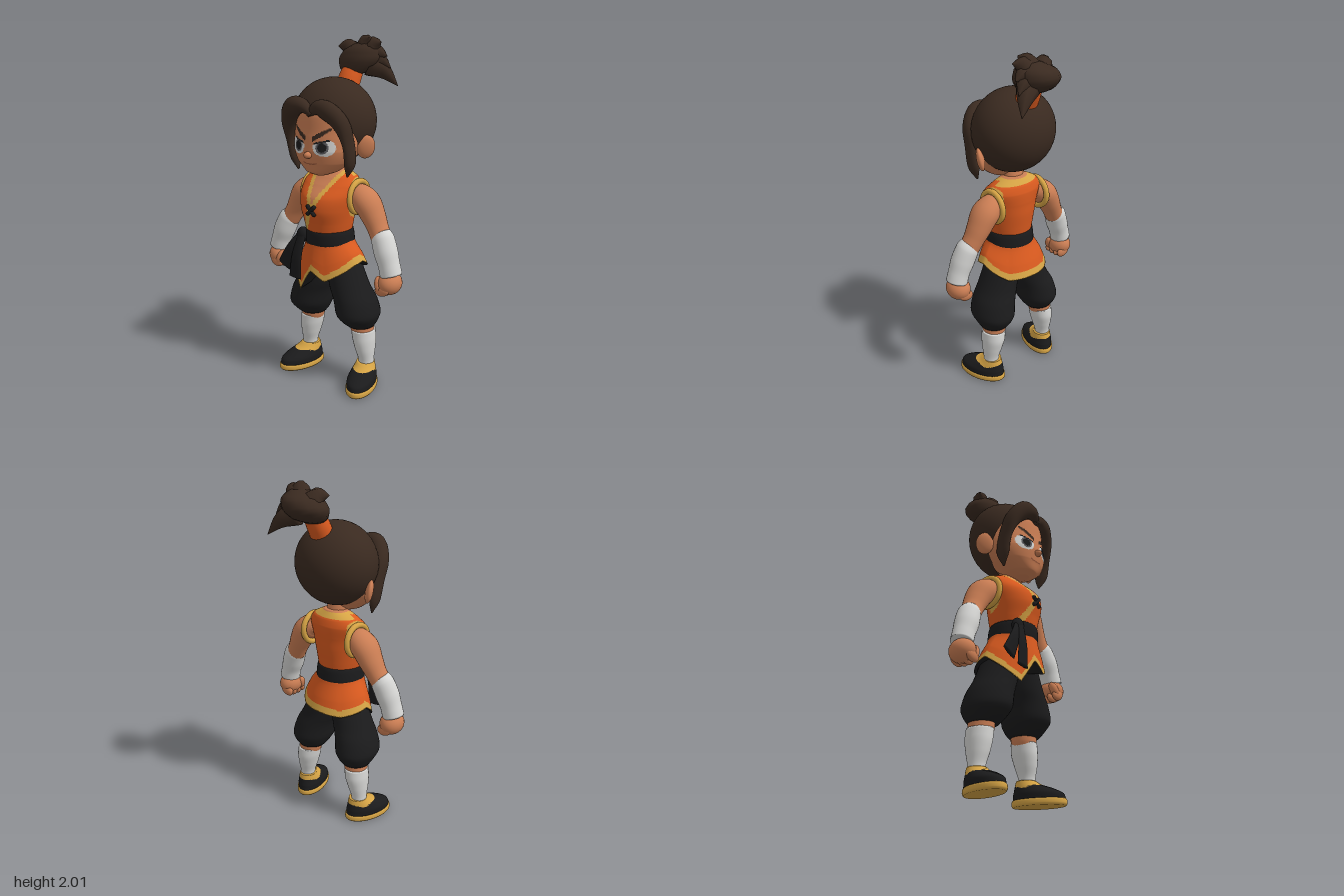
import * as THREE from 'three';

const mat = (name, color, side = THREE.FrontSide) =>
  Object.assign(new THREE.MeshStandardMaterial({ color, side }), { name });
const skin = mat('skin', 0xcb7e54), hair = mat('hair', 0x3a2a20, THREE.DoubleSide);
const orange = mat('orange cloth', 0xd95a1f), trim = mat('gold trim', 0xd6a445);
const black = mat('black cloth', 0x1b1b1c), white = mat('white wrap', 0xd6d6d4);
const grey = mat('grey iris', 0x5c5c60), lip = mat('lip', 0x9c5a3c);

// Smooth closed loft through sections [x, y, z, rx, rz].
// flat: rings stay horizontal (list them upwards); pick(p, a): material index per face.
function loft(name, sections, material, { n = 24, rows = 24, flat = false, warp, pick } = {}) {
  const centres = new THREE.CatmullRomCurve3(sections.map(s => new THREE.Vector3(s[0], s[1], s[2])));
  const radii = new THREE.CatmullRomCurve3(sections.map(s => new THREE.Vector3(s[3], s[4], 0)));
  const pos = [], Z = new THREE.Vector3(0, 0, 1);
  for (let j = -1; j <= rows + 1; j++) {
    const v = Math.min(Math.max(j / rows, 0), 1), closed = j < 0 || j > rows;
    const c = centres.getPoint(v), r = radii.getPoint(v), t = centres.getTangent(v);
    const s = flat ? new THREE.Vector3(1, 0, 0) : new THREE.Vector3().crossVectors(t, Z).normalize();
    const f = flat ? Z : new THREE.Vector3().crossVectors(s, t).normalize();
    for (let i = 0; i < n; i++) {
      const a = i / n * Math.PI * 2, p = c.clone();
      if (!closed) {
        p.addScaledVector(s, Math.max(r.x, 0.001) * Math.sin(a));
        p.addScaledVector(f, Math.max(r.y, 0.001) * Math.cos(a));
        if (warp) warp(p, a);
      }
      pos.push(p.x, p.y, p.z);
    }
  }
  const mats = [].concat(material), lists = mats.map(() => []);
  for (let j = 0; j < rows + 2; j++) for (let i = 0; i < n; i++) {
    const k = (i + 1) % n, q = [j * n + i, j * n + k, (j + 1) * n + k, (j + 1) * n + i];
    const mid = new THREE.Vector3();
    q.forEach(e => mid.add(new THREE.Vector3(...pos.slice(e * 3, e * 3 + 3))));
    const m = pick ? pick(mid.multiplyScalar(0.25), (i + 0.5) / n * Math.PI * 2) : 0;
    lists[m].push(q[0], q[1], q[2], q[0], q[2], q[3]);
  }
  const g = new THREE.BufferGeometry();
  g.setAttribute('position', new THREE.Float32BufferAttribute(pos, 3));
  g.setIndex(lists.flat());
  let start = 0;
  if (pick) lists.forEach((l, m) => { g.addGroup(start, l.length, m); start += l.length; });
  g.computeVertexNormals();
  const mesh = new THREE.Mesh(g, pick ? mats : mats[0]);
  mesh.name = name;
  return mesh;
}

function ball(name, material, [x, y, z], [rx, ry, rz], rot = [0, 0, 0]) {
  const m = new THREE.Mesh(new THREE.SphereGeometry(1, 24, 16), material);
  m.name = name;
  m.position.set(x, y, z);
  m.scale.set(rx, ry, rz);
  m.rotation.set(...rot);
  return m;
}

// Face colours: 0 skin, 1 black, 2 eye white, 3 iris, 4 lip, 5 brow
function facePick({ x, y, z }) {
  if (z < 0.08) return 0;
  const m = Math.abs(x), ex = m - 0.088, ey = y - 1.442;
  const brow = y - (1.487 + (m - 0.03) * 0.6);
  if (m > 0.026 && m < 0.125 && Math.abs(brow) < 0.013 - Math.max(0, m - 0.08) * 0.15) return 5;
  const lid = 1.465 + (m - 0.03) * 0.25 - y;
  if ((ex / 0.058) ** 2 + (ey / 0.047) ** 2 < 1 && lid > 0) {
    if (lid < 0.009) return 1;
    const d = Math.hypot(m - 0.08, ey);
    return d < 0.024 ? 1 : d < 0.034 ? 3 : 2;
  }
  return m < 0.045 && Math.abs(y - 1.347 - x * x * 3) < 0.004 ? 4 : 0;
}

// Vest colours: 0 orange, 1 trim, 2 skin
function vestPick({ x, y, z }) {
  const m = Math.abs(x);
  if (y > 1.293) return 2;
  if (z > 0.03) {
    const w = Math.max(0, y - 1.115) * 0.45;
    if (y > 1.115 && m < w) return 2;
    if (y > 1.1 && m < w + 0.03) return 1;
    if (y <= 1.12 && Math.abs(x - (y - 1.1) * 0.55) < 0.019) return 1;
  } else if (y > 1.262) return 1;
  return m > 0.135 && Math.hypot((y - 1.14) / 0.115, (z - 0.02) / 0.095) < 1 ? 1 : 0;
}

// Uneven hem height around the skirt, by angle from the front
const hemTable = [[-180, .70], [-140, .69], [-90, .73], [-60, .66], [-30, .585], [-4, .725],
  [20, .675], [70, .77], [90, .785], [140, .70], [180, .70]];
function hem(a) {
  const d = ((a * 180 / Math.PI + 180) % 360) - 180;
  const i = Math.max(1, hemTable.findIndex(h => h[0] >= d));
  const [d0, y0] = hemTable[i - 1], [d1, y1] = hemTable[i];
  return y0 + (y1 - y0) * (d - d0) / (d1 - d0);
}

export function createModel() {
  const model = new THREE.Group();
  model.name = 'fighter';
  const add = (...m) => model.add(...m);

  // Head
  add(loft('head', [[0, 1.275, .14, .04, .045], [0, 1.295, .13, .09, .095], [0, 1.35, .115, .16, .13],
    [0, 1.42, .085, .198, .172], [0, 1.5, .06, .203, .19], [0, 1.6, .05, .198, .192], [0, 1.71, .04, .14, .14]],
    [skin, black, white, grey, lip, hair], { n: 220, rows: 110, flat: true, pick: facePick }));
  add(ball('nose', skin, [0, 1.398, .258], [.022, .019, .026]));
  add(loft('neck', [[0, 1.15, .04, .07, .07], [0, 1.22, .035, .075, .065], [0, 1.27, .035, .062, .055],
    [0, 1.36, .05, .06, .055]], skin, { flat: true }));

  // Hair cap, open towards the face
  const cap = new THREE.SphereGeometry(1, 40, 28, 0, Math.PI * 2, 0, 2.08);
  cap.rotateX(-0.915).scale(.243, .235, .22).translate(0, 1.56, .03);
  const capMesh = new THREE.Mesh(cap, hair);
  capMesh.name = 'hairCap';
  add(capMesh);

  // Swept fringe running into the side locks
  add(loft('rightFringe', [[.02, 1.615, .25, .012, .012], [-.04, 1.655, .25, .04, .04], [-.11, 1.645, .243, .055, .05],
    [-.17, 1.57, .205, .045, .05], [-.19, 1.46, .165, .023, .045], [-.186, 1.36, .145, .023, .042],
    [-.17, 1.28, .14, .004, .006]], hair));
  add(loft('leftFringe', [[-.01, 1.61, .245, .012, .012], [.05, 1.65, .232, .04, .035], [.11, 1.635, .222, .052, .045],
    [.17, 1.57, .19, .045, .048], [.197, 1.46, .16, .024, .045], [.196, 1.36, .145, .026, .042],
    [.175, 1.28, .14, .004, .006]], hair));

  // Topknot with tie and loose tips
  add(loft('hairTie', [[.008, 1.73, -.075, .066, .062], [.01, 1.78, -.1, .064, .062],
    [.015, 1.835, -.13, .058, .056]], orange));
  add(loft('topknot', [[.015, 1.8, -.125, .045, .045], [.02, 1.83, -.155, .1, .09], [.03, 1.885, -.18, .13, .118],
    [.045, 1.935, -.185, .11, .105], [.07, 1.975, -.175, .045, .045]], hair, { n: 14, rows: 12, flat: true }));
  const tips = [[.115, 2.0, -.13], [.175, 1.975, -.16], [.19, 1.9, -.2], [.195, 1.835, -.23], [.215, 1.735, -.275],
    [-.085, 1.95, -.12]];
  tips.forEach(([x, y, z]) => {
    const bx = .03 + (x - .03) * .3, by = 1.885 + (y - 1.885) * .2;
    add(loft('topknotLock', [[bx, by, -.18, .07, .07], [(bx + x) / 2, (by + y) / 2 + .022, (z - .18) / 2, .048, .045],
      [x, y, z, .002, .002]], hair, { n: 8, rows: 8 }));
  });

  // Vest, skirt and sash
  add(loft('vest', [[0, .88, .07, .13, .13], [0, .93, .075, .13, .132], [0, 1.0, .078, .142, .143],
    [0, 1.08, .082, .158, .157], [0, 1.15, .073, .172, .152], [0, 1.215, .042, .178, .122],
    [0, 1.255, .028, .15, .095], [0, 1.3, .025, .065, .058]], [orange, trim, skin],
    { n: 128, rows: 84, flat: true, pick: vestPick }));
  add(loft('skirt', [[0, .7, .05, .22, .183], [0, .78, .058, .192, .165], [0, .86, .068, .15, .143],
    [0, .92, .073, .13, .132]], [orange, trim, black], {
    n: 120, rows: 36, flat: true,
    warp: (p, a) => { const h = hem(a); p.y = h + (p.y - .7) / .22 * (.92 - h); },
    pick: (p, a) => p.y < .8 && Math.hypot(p.x, p.z - .05) < .13 ? 2 : p.y - hem(a) < .038 ? 1 : 0,
  }));
  add(loft('sash', [[0, .868, .07, .141, .138], [0, .885, .071, .145, .142], [0, .935, .074, .141, .141],
    [0, .957, .075, .135, .136]], black, { n: 40, flat: true, rows: 10 }));
  add(ball('sashKnot', black, [-.105, .915, .185], [.04, .045, .03]));
  add(loft('sashTail', [[-.11, .92, .19, .025, .012], [-.17, .82, .215, .037, .012], [-.225, .71, .215, .05, .01]],
    black, { n: 12 }));
  add(loft('sashTail', [[-.1, .92, .2, .025, .012], [-.12, .79, .228, .036, .012], [-.13, .66, .233, .044, .01]],
    black, { n: 12 }));

  // Crossed chest fastening
  for (const s of [-1, 1]) {
    const bar = new THREE.Mesh(new THREE.CapsuleGeometry(.012, .06, 4, 8), black);
    bar.name = 'chestKnot';
    bar.position.set(0, 1.085, .24);
    bar.rotation.z = s * .8;
    add(bar);
  }

  for (const s of [-1, 1]) {
    const side = s > 0 ? 'left' : 'right';
    const limb = (name, rings, m, o) => add(loft(side + name, rings.map(([x, ...r]) => [x * s, ...r]), m, o));
    const blob = (name, m, [x, y, z], r, [a, b, c] = [0, 0, 0]) =>
      add(ball(side + name, m, [x * s, y, z], r, [a, b * s, c * s]));

    // Ear
    blob('Ear', skin, [.226, 1.437, .043], [.022, .066, .052], [0, -.65, -.18]);

    // Armhole edge
    const ring = new THREE.Mesh(new THREE.TorusGeometry(.088, .017, 10, 32), trim);
    ring.name = side + 'ArmholeTrim';
    ring.position.set(.166 * s, 1.147, .02);
    ring.rotation.set(0, Math.PI / 2, s * .1);
    add(ring);

    // Arm, forearm wrap and fist
    limb('Arm', [[.13, 1.165, .02, .05, .05], [.172, 1.155, .02, .068, .076], [.222, 1.12, .02, .074, .085],
      [.268, 1.05, .02, .066, .074], [.302, .99, .025, .058, .063], [.337, .93, .035, .057, .058]], skin);
    limb('ForearmWrap', [[.322, .965, .03, .055, .056], [.342, .935, .035, .065, .066], [.37, .87, .045, .067, .068],
      [.397, .8, .05, .061, .062], [.413, .745, .052, .062, .062]], white);
    blob('Fist', skin, [.405, .7, .052], [.066, .066, .078]);
    for (let i = 0; i < 4; i++) blob('Finger', skin, [.39, .66 + Math.abs(i - 1.5) * .005, .001 + i * .035], [.047, .034, .021], [0, 0, .3]);
    blob('Thumb', skin, [.364, .695, .1], [.024, .047, .027], [-.3, 0, .3]);

    // Baggy trouser leg
    limb('TrouserLeg', [[.18, .373, .01, .082, .085], [.178, .4, .015, .1, .112], [.175, .46, .028, .123, .147],
      [.157, .54, .035, .12, .138], [.125, .61, .042, .114, .126], [.09, .72, .045, .098, .118],
      [.07, .84, .06, .065, .105]], black, { flat: true, n: 32 });

    // Calf and shin wrap
    limb('Calf', [[.195, .3, 0, .06, .065], [.187, .35, .002, .069, .073], [.183, .42, .005, .07, .075]], skin, { flat: true });
    limb('ShinWrap', [[.217, .08, 0, .045, .046], [.216, .15, 0, .046, .048], [.208, .22, 0, .058, .066],
      [.199, .29, -.002, .068, .078], [.192, .345, 0, .07, .076]], white, { flat: true });

    // Shoe, turned outwards
    const shoe = new THREE.Group();
    shoe.name = side + 'Shoe';
    shoe.position.set(.212 * s, 0, 0);
    shoe.rotation.y = .3 * s;
    shoe.add(loft('sole', [[0, 0, .07, .08, .148], [0, .012, .07, .086, .156], [0, .03, .07, .085, .155],
      [0, .038, .07, .078, .148]], trim, { flat: true, n: 36, rows: 8 }));
    shoe.add(loft('upper', [[0, .034, .07, .08, .149], [0, .065, .066, .08, .142], [0, .092, .044, .071, .114],
      [0, .118, .012, .06, .076], [0, .14, -.002, .052, .056]], [black, trim],
      { flat: true, n: 48, rows: 24, pick: p => p.y > .108 - Math.max(0, .05 - Math.abs(p.z)) * .3 ? 1 : 0 }));
    add(shoe);
  }
  return model;
}
